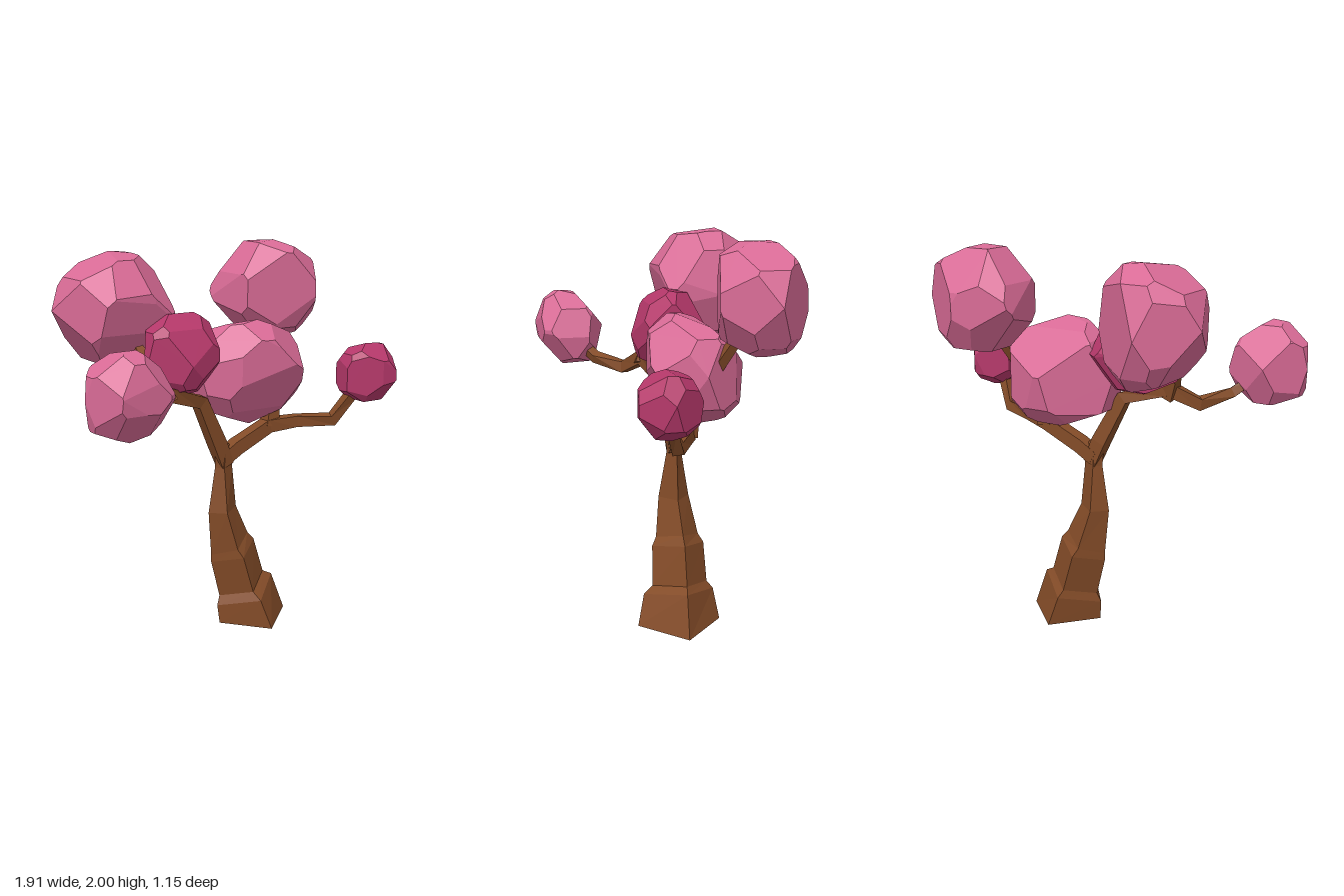
import * as THREE from 'three';
import { ConvexGeometry } from 'three/addons/geometries/ConvexGeometry.js';

const material = (color) => new THREE.MeshStandardMaterial({ color, flatShading: true });
const bark = material(0x844c28);
const pink = material(0xd96b96);
const magenta = material(0xb5386a);

function addMesh(parent, name, geometry, mat) {
  const mesh = new THREE.Mesh(geometry, mat);
  mesh.name = name;
  parent.add(mesh);
}

// Skins a stack of equal-sized rings and closes both ends
function loft(rings) {
  const n = rings[0].length;
  const positions = rings.flat().flatMap((p) => p.toArray());
  const index = [];
  for (let r = 0; r < rings.length - 1; r++) {
    for (let i = 0; i < n; i++) {
      const a = r * n + i, b = r * n + (i + 1) % n;
      index.push(a, b, b + n, a, b + n, a + n);
    }
  }
  const top = (rings.length - 1) * n;
  for (let i = 1; i < n - 1; i++) {
    index.push(0, i + 1, i, top, top + i, top + i + 1);
  }
  const geometry = new THREE.BufferGeometry();
  geometry.setAttribute('position', new THREE.Float32BufferAttribute(positions, 3));
  geometry.setIndex(index);
  geometry.computeVertexNormals();
  return geometry;
}

// Diamond trunk ring: left x/y, right x/y, front z, back z
function trunkRing([xl, yl, xr, yr, zf, zb]) {
  const x = (xl + xr) / 2 - 0.02, y = (yl + yr) / 2, z = (zf + zb) / 2;
  return [
    new THREE.Vector3(xl, yl, z), new THREE.Vector3(x, y, zf),
    new THREE.Vector3(xr, yr, z), new THREE.Vector3(x, y, zb),
  ];
}

// Four-sided tapering limb through points [x, y, z, radius]
function limb(path) {
  const pts = path.map(([x, y, z]) => new THREE.Vector3(x, y, z));
  return loft(pts.map((p, i) => {
    const t = pts[Math.min(i + 1, pts.length - 1)].clone()
      .sub(pts[Math.max(i - 1, 0)]).normalize();
    const u = new THREE.Vector3(0, 0, 1).addScaledVector(t, -t.z).normalize();
    const v = t.clone().cross(u);
    return [0, 1, 2, 3].map((k) => {
      const a = Math.PI / 4 + k * Math.PI / 2, r = path[i][3];
      return p.clone().addScaledVector(u, r * Math.cos(a)).addScaledVector(v, r * Math.sin(a));
    });
  }));
}

// Faceted leaf clump: the solid bounded by its front (x, y), top (x, z) and
// side (z, y) outlines, with its eight corners bevelled
function clump(front, top, side) {
  const box = new THREE.Box3();
  for (const [x, y] of front) box.expandByPoint(new THREE.Vector3(x, y, top[0][1]));
  for (const [x, z] of top) box.expandByPoint(new THREE.Vector3(x, front[0][1], z));
  const centre = box.getCenter(new THREE.Vector3());
  const half = box.getSize(new THREE.Vector3()).multiplyScalar(0.5);

  // Cutting planes as outward normal n and distance d from the centre
  const planes = [];
  for (const [outline, a, b] of [[front, 'x', 'y'], [top, 'x', 'z'], [side, 'z', 'y']]) {
    outline.forEach((p, i) => {
      const q = outline[(i + 1) % outline.length];
      const n = new THREE.Vector3();
      n[a] = q[1] - p[1];
      n[b] = p[0] - q[0];
      n.normalize();
      const d = n[a] * (p[0] - centre[a]) + n[b] * (p[1] - centre[b]);
      planes.push({ n: n.multiplyScalar(Math.sign(d)), d: Math.abs(d) });
    });
  }
  for (const sx of [-1, 1]) for (const sy of [-1, 1]) for (const sz of [-1, 1]) {
    const n = new THREE.Vector3(sx, sy, sz).divide(half);
    const scale = 1 / n.length();
    planes.push({ n: n.multiplyScalar(scale), d: 1.68 * scale });
  }

  // Corners of the solid: where three planes meet inside all the others
  const corners = new Map();
  for (let i = 0; i < planes.length; i++) for (let j = 0; j < i; j++) {
    const ij = planes[i].n.clone().cross(planes[j].n);
    for (let k = 0; k < j; k++) {
      const det = ij.dot(planes[k].n);
      if (Math.abs(det) < 1e-4) continue;
      const p = ij.clone().multiplyScalar(planes[k].d)
        .addScaledVector(planes[j].n.clone().cross(planes[k].n), planes[i].d)
        .addScaledVector(planes[k].n.clone().cross(planes[i].n), planes[j].d)
        .divideScalar(det);
      if (planes.some(({ n, d }) => n.dot(p) > d + 1e-6)) continue;
      corners.set(p.toArray().map((c) => Math.round(c * 500)).join(), p.add(centre));
    }
  }
  return new ConvexGeometry([...corners.values()]);
}

export function createModel() {
  const tree = new THREE.Group();
  tree.name = 'blossomTree';

  // Leaning trunk with stepped ledges
  addMesh(tree, 'trunk', loft([
    [-0.01, 0, 0.41, 0, 0.2, -0.235],
    [-0.02, 0.1, 0.33, 0.21, 0.16, -0.21],
    [0, 0.15, 0.28, 0.235, 0.11, -0.18],
    [-0.05, 0.35, 0.22, 0.43, 0.1, -0.175],
    [-0.05, 0.39, 0.18, 0.475, 0.075, -0.15],
    [-0.07, 0.63, 0.1, 0.64, 0.05, -0.11],
    [-0.03, 0.87, 0.075, 0.87, 0.01, -0.07],
    [-0.035, 0.95, 0.09, 0.95, 0.01, -0.06],
    [0.0, 1.01, 0.05, 0.99, 0, -0.05],
  ].map(trunkRing)), bark);

  // Limbs, each running into its leaf clump
  const limbs = {
    leftFork: [[0.03, 0.88, -0.03, 0.05], [-0.02, 1.0, -0.025, 0.055], [-0.14, 1.24, 0, 0.047],
      [-0.36, 1.31, 0.05, 0.052], [-0.5, 1.23, 0.13, 0.042], [-0.61, 1.27, 0.27, 0.035],
      [-0.7, 1.35, 0.35, 0.03]],
    leftForkSpur: [[-0.36, 1.27, 0.06, 0.06], [-0.4, 1.37, 0.03, 0.045], [-0.42, 1.52, -0.12, 0.03]],
    rightFork: [[0.01, 0.91, -0.03, 0.05], [0.1, 0.965, -0.03, 0.052], [0.3, 1.055, -0.03, 0.05],
      [0.45, 1.07, 0.02, 0.042], [0.63, 1.07, 0.1, 0.04], [0.71, 1.2, 0.15, 0.035],
      [0.76, 1.28, 0.18, 0.03]],
    rightForkSpur: [[0.31, 1.05, -0.03, 0.055], [0.33, 1.16, -0.04, 0.045], [0.42, 1.4, -0.14, 0.035],
      [0.49, 1.58, -0.24, 0.03]],
  };
  for (const [name, path] of Object.entries(limbs)) addMesh(tree, name, limb(path), bark);

  // Leaf clumps: front, top and side outlines
  addMesh(tree, 'backLeftLeaves', clump(
    [[-0.76, 1.7], [-0.68, 1.86], [-0.45, 1.98], [-0.35, 1.97], [-0.25, 1.88], [-0.2, 1.65],
      [-0.28, 1.45], [-0.42, 1.39], [-0.58, 1.44]],
    [[-0.76, -0.38], [-0.52, -0.58], [-0.2, -0.34], [-0.22, -0.07], [-0.36, -0.04], [-0.62, -0.03]],
    [[-0.03, 1.78], [-0.08, 1.6], [-0.2, 1.44], [-0.41, 1.39], [-0.5, 1.47], [-0.58, 1.66],
      [-0.5, 1.9], [-0.36, 1.98], [-0.15, 1.95]]), pink);
  addMesh(tree, 'backRightLeaves', clump(
    [[0.21, 1.68], [0.26, 1.83], [0.39, 1.99], [0.5, 2], [0.73, 1.89], [0.8, 1.73],
      [0.69, 1.53], [0.56, 1.47], [0.38, 1.49]],
    [[0.21, -0.48], [0.5, -0.56], [0.8, -0.34], [0.65, -0.09], [0.27, -0.18]],
    [[-0.1, 1.93], [-0.28, 2], [-0.4, 1.99], [-0.55, 1.79], [-0.57, 1.68], [-0.47, 1.5],
      [-0.31, 1.46], [-0.15, 1.54], [-0.07, 1.76]]), pink);
  addMesh(tree, 'centreLeaves', clump(
    [[-0.13, 1.34], [-0.04, 1.54], [0.05, 1.61], [0.2, 1.63], [0.44, 1.54], [0.5, 1.37],
      [0.45, 1.2], [0.2, 1.07], [-0.09, 1.18]],
    [[-0.13, -0.1], [0.16, -0.35], [0.38, -0.25], [0.5, -0.08], [0.39, 0.17], [0.04, 0.12],
      [-0.13, 0.02]],
    [[0.17, 1.42], [0.14, 1.54], [0.01, 1.63], [-0.13, 1.58], [-0.34, 1.37], [-0.31, 1.2],
      [-0.19, 1.1], [-0.06, 1.07], [0.05, 1.17]]), pink);
  addMesh(tree, 'frontLeftLeaves', clump(
    [[-0.96, 1.41], [-0.94, 1.52], [-0.81, 1.62], [-0.74, 1.63], [-0.62, 1.54], [-0.57, 1.39],
      [-0.59, 1.27], [-0.77, 1.21], [-0.93, 1.27]],
    [[-0.96, 0.38], [-0.8, 0.2], [-0.57, 0.31], [-0.57, 0.5], [-0.62, 0.55], [-0.87, 0.57]],
    [[0.57, 1.44], [0.53, 1.58], [0.45, 1.63], [0.36, 1.61], [0.2, 1.42], [0.28, 1.23],
      [0.43, 1.21], [0.56, 1.36]]), pink);
  addMesh(tree, 'innerLeftLeaves', clump(
    [[-0.46, 1.37], [-0.41, 1.61], [-0.29, 1.69], [-0.15, 1.69], [-0.04, 1.62], [-0.04, 1.44],
      [-0.18, 1.29], [-0.27, 1.28]],
    [[-0.46, 0], [-0.26, 0.14], [-0.07, 0.08], [-0.04, -0.22], [-0.18, -0.23], [-0.38, -0.1]],
    [[0.14, 1.45], [0.06, 1.62], [-0.04, 1.69], [-0.15, 1.67], [-0.23, 1.5], [-0.18, 1.33],
      [-0.03, 1.28], [0.1, 1.33]]), magenta);
  addMesh(tree, 'frontRightLeaves', clump(
    [[0.62, 1.34], [0.66, 1.43], [0.77, 1.48], [0.88, 1.47], [0.95, 1.35], [0.92, 1.23],
      [0.8, 1.16], [0.72, 1.18], [0.63, 1.24]],
    [[0.63, 0.22], [0.65, 0.1], [0.83, 0.03], [0.95, 0.18], [0.87, 0.33], [0.79, 0.32]],
    [[0.34, 1.3], [0.32, 1.4], [0.19, 1.48], [0.08, 1.44], [0.03, 1.34], [0.05, 1.23],
      [0.17, 1.16], [0.25, 1.18]]), magenta);
  return tree;
}
